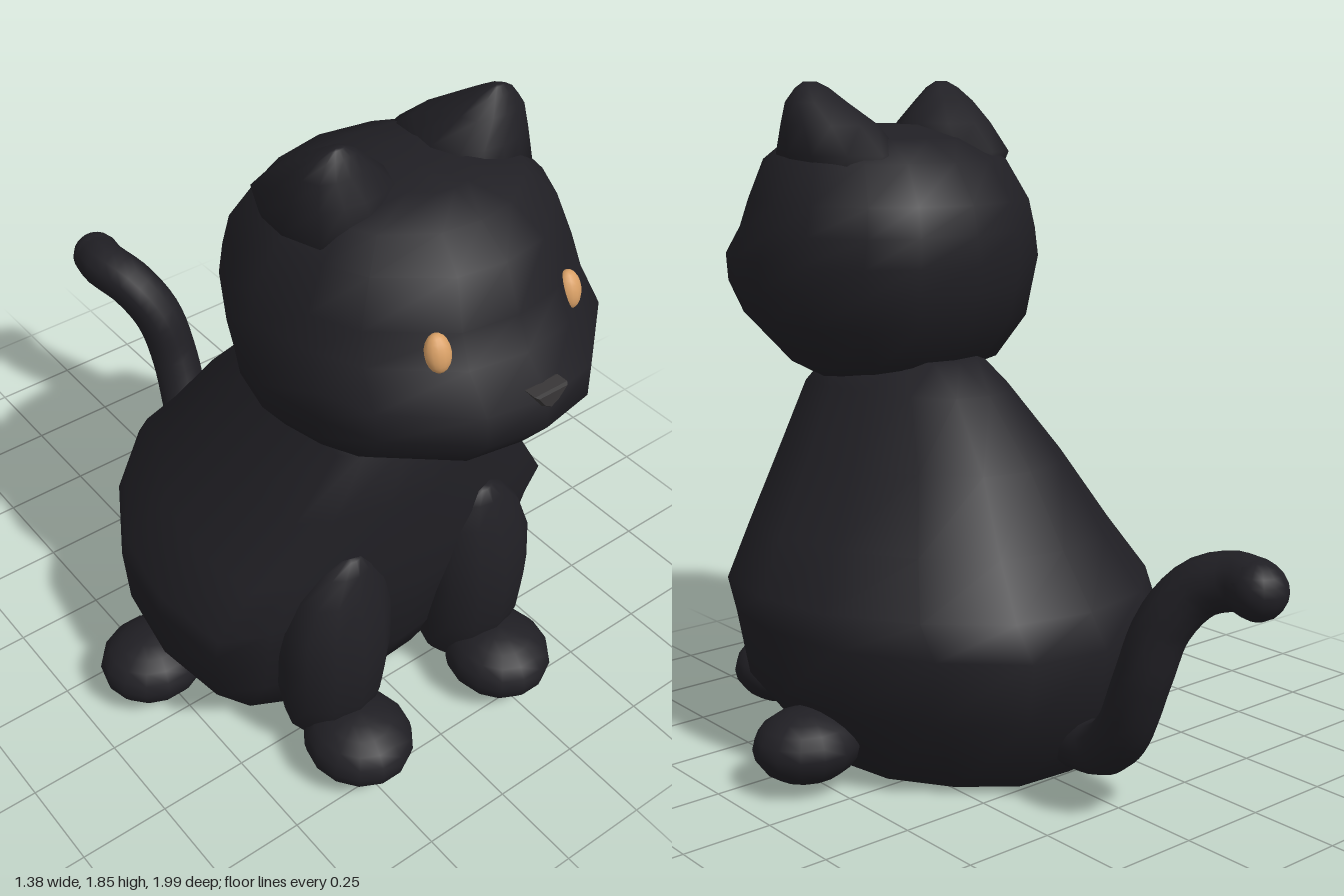
import * as THREE from 'three';

const fur = new THREE.MeshStandardMaterial({ color: 0x201f24 });
const amber = new THREE.MeshStandardMaterial({ color: 0xd9a066 });
const noseGrey = new THREE.MeshStandardMaterial({ color: 0x383637 });

// Half outlines seen from above: [x share of half width, z share from back to front]
const BODY = [[0, 0], [0.38, 0.04], [0.69, 0.2], [0.93, 0.42], [1, 0.65], [0.95, 0.86], [0.74, 0.92], [0.35, 0.98], [0, 1]];
const HEAD = [[0, 0], [0.4, 0.04], [0.7, 0.12], [0.92, 0.3], [1, 0.46], [0.92, 0.65], [0.78, 0.8], [0.36, 0.97], [0, 1]];
const EAR = [[0, 0], [0.6, 0.1], [0.92, 0.36], [1, 0.62], [0.8, 0.88], [0.4, 0.97], [0, 1]];
const LEG = [[0, 0], [0.5, 0.07], [0.87, 0.25], [1, 0.5], [0.87, 0.75], [0.5, 0.93], [0, 1]];

// Stacks scaled outlines; each ring is [y, half width, back z, front z, centre x, lift of its middle]
function loft(half, rings) {
  const outline = [...half, ...half.slice(1, -1).reverse().map(([x, t]) => [-x, t])];
  const n = outline.length, pos = [], idx = [];
  for (const [y, w, zb, zf, cx = 0, lift = 0] of rings)
    for (const [x, t] of outline) pos.push(cx + x * w, y + lift * (1 - Math.abs(x)), zb + t * (zf - zb));
  for (const [y, , zb, zf, cx = 0] of [rings[0], rings.at(-1)]) pos.push(cx, y, (zb + zf) / 2);
  const low = rings.length * n, last = low - n;
  for (let j = 0; j < n; j++) {
    const k = (j + 1) % n;
    for (let i = 0; i < last; i += n)
      idx.push(i + j, i + n + j, i + k, i + k, i + n + j, i + n + k);
    idx.push(low, j, k, low + 1, last + k, last + j);
  }
  const geo = new THREE.BufferGeometry();
  geo.setAttribute('position', new THREE.Float32BufferAttribute(pos, 3));
  geo.setIndex(idx);
  geo.computeVertexNormals();
  return geo;
}

export function createModel() {
  const cat = new THREE.Group();
  cat.name = 'sittingCat';

  const add = (name, geo, mat = fur) => {
    const mesh = new THREE.Mesh(geo, mat);
    mesh.name = name;
    cat.add(mesh);
    return mesh;
  };
  const ellipsoid = (name, [x, y, z], [rx, ry, rz], mat) => {
    const mesh = add(name, new THREE.SphereGeometry(1, 14, 10), mat);
    mesh.position.set(x, y, z);
    mesh.scale.set(rx, ry, rz);
    return mesh;
  };

  // Pear-shaped body, lowest along the middle and at the haunches
  add('body', loft(BODY, [
    [0.003, 0.1, -0.05, 0.2], [0.012, 0.39, -0.31, 0.47, 0, 0.03], [0.24, 0.555, -0.42, 0.57],
    [0.42, 0.575, -0.45, 0.61], [0.51, 0.585, -0.39, 0.63], [0.65, 0.49, -0.28, 0.64],
    [0.84, 0.365, -0.15, 0.645], [1.02, 0.25, 0.02, 0.64], [1.1, 0.2, 0.15, 0.56],
  ]));

  // Head with the muzzle drawn forward
  add('head', loft(HEAD, [
    [1.03, 0.21, 0.32, 0.66], [1.08, 0.31, 0.18, 0.75], [1.2, 0.4, 0.09, 0.92],
    [1.29, 0.422, 0.07, 0.99], [1.37, 0.435, 0.055, 0.985], [1.45, 0.417, 0.065, 0.91],
    [1.53, 0.4, 0.085, 0.87], [1.64, 0.352, 0.16, 0.82], [1.7, 0.28, 0.28, 0.73],
    [1.735, 0.12, 0.4, 0.64],
  ]));

  for (const [side, s] of [['left', 1], ['right', -1]]) {
    // Ear: steep in front, sloping broadly into the back of the head
    add(side + 'Ear', loft(EAR, [
      [1.56, 0.1, 0.28, 0.55, s * 0.2], [1.66, 0.152, 0.23, 0.61, s * 0.19],
      [1.74, 0.13, 0.32, 0.58, s * 0.2], [1.8, 0.089, 0.41, 0.555, s * 0.224],
      [1.837, 0.052, 0.465, 0.535, s * 0.228], [1.855, 0.02, 0.5, 0.52, s * 0.23],
    ]));
    ellipsoid(side + 'Eye', [s * 0.195, 1.49, 0.83], [0.031, 0.047, 0.026], amber).rotation.set(-0.3, s * 0.3, 0);
    add(side + 'FrontLeg', loft(LEG, [
      [0.05, 0.08, 0.46, 0.58, s * 0.24], [0.12, 0.125, 0.44, 0.66, s * 0.24],
      [0.25, 0.15, 0.43, 0.695, s * 0.245], [0.38, 0.16, 0.43, 0.705, s * 0.245],
      [0.5, 0.157, 0.45, 0.69, s * 0.243], [0.6, 0.125, 0.5, 0.66, s * 0.235],
      [0.67, 0.075, 0.53, 0.64, s * 0.225], [0.705, 0.03, 0.57, 0.62, s * 0.22],
    ]));
    ellipsoid(side + 'FrontPaw', [s * 0.25, 0.122, 0.69], [0.145, 0.1, 0.153]);
    ellipsoid(side + 'HindPaw', [s * 0.54, 0.125, 0.135], [0.15, 0.1, 0.137]);
  }

  // Small downward-pointing nose
  const noseShape = new THREE.Shape([[-0.042, 0.018], [-0.02, -0.01], [0, -0.022], [0.02, -0.01], [0.042, 0.018]]
    .map(([x, y]) => new THREE.Vector2(x, y)));
  const nose = add('nose', new THREE.ExtrudeGeometry(noseShape, {
    depth: 0.03, bevelEnabled: true, bevelSize: 0.005, bevelThickness: 0.008, bevelSegments: 1,
  }), noseGrey);
  nose.position.set(0, 1.376, 0.957);

  // Tail curling up and back, with a rounded tip
  const path = new THREE.CatmullRomCurve3([
    [0, 0.14, -0.33], [0.02, 0.165, -0.46], [0.06, 0.26, -0.575], [0.072, 0.42, -0.65],
    [0.045, 0.57, -0.695], [-0.002, 0.665, -0.765], [-0.035, 0.695, -0.86], [-0.025, 0.69, -0.925],
  ].map(p => new THREE.Vector3(...p)));
  add('tail', new THREE.TubeGeometry(path, 28, 0.074, 12));
  ellipsoid('tailTip', [-0.025, 0.69, -0.925], [0.074, 0.074, 0.074]);

  return cat;
}
